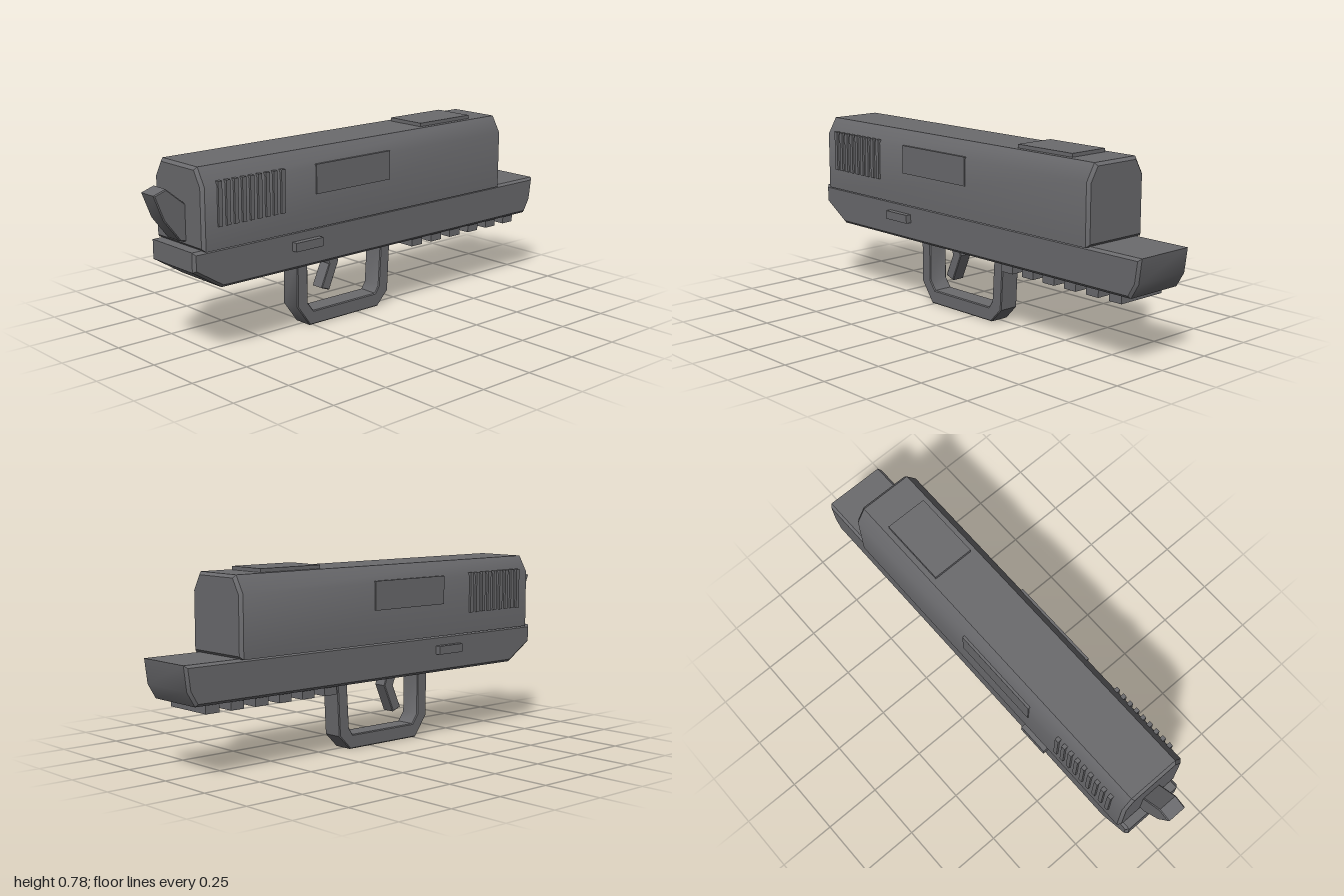
import * as THREE from 'three';
import { toCreasedNormals } from 'three/addons/utils/BufferGeometryUtils.js';

export function createModel() {
  const group = new THREE.Group();
  const grey = new THREE.MeshStandardMaterial({ color: 0x6b6b6e });
  grey.name = 'gunmetal grey';

  function add(name, geometry) {
    const mesh = new THREE.Mesh(geometry, grey);
    mesh.name = name;
    group.add(mesh);
    return mesh;
  }

  // Extrude an outline to a full depth centred on z, with a chamfer inside the outline
  function slab(points, depth, bevel) {
    const shape = new THREE.Shape(points.map(([x, y]) => new THREE.Vector2(x, y)));
    const geometry = new THREE.ExtrudeGeometry(shape, {
      depth: depth - 2 * bevel,
      bevelEnabled: bevel > 0,
      bevelSize: bevel,
      bevelThickness: bevel,
      bevelOffset: -bevel,
      bevelSegments: 1,
    });
    geometry.translate(0, 0, -depth / 2 + bevel);
    return toCreasedNormals(geometry, THREE.MathUtils.degToRad(40));
  }

  // Box given by its limits on each axis
  function block(name, x0, x1, y0, y1, z0, z1) {
    const mesh = add(name, new THREE.BoxGeometry(x1 - x0, y1 - y0, z1 - z0));
    mesh.position.set((x0 + x1) / 2, (y0 + y1) / 2, (z0 + z1) / 2);
  }

  // Upper body: chamfered cross-section run along x
  const upper = slab([
    [-0.154, 0.448], [0.154, 0.448], [0.154, 0.695],
    [0.113, 0.765], [-0.113, 0.765], [-0.154, 0.695],
  ], 1.62, 0.012);
  upper.rotateY(Math.PI / 2);
  upper.translate(-0.055, 0, 0);
  add('upperBody', upper);

  // Lower frame with clipped ends
  add('lowerFrame', slab([
    [-0.9, 0.45], [-0.9, 0.372], [-0.77, 0.291], [0.95, 0.291],
    [0.985, 0.35], [0.998, 0.45],
  ], 0.28, 0.011));

  // Angled tab at the rear
  add('rearTab', slab([
    [-1, 0.665], [-0.96, 0.565], [-0.89, 0.475], [-0.85, 0.465],
    [-0.85, 0.605], [-0.945, 0.683],
  ], 0.086, 0.004));

  // Loop under the frame
  add('guardLoop', slab([
    [-0.33, 0.3], [-0.33, 0.09], [-0.265, 0], [0.115, 0], [0.173, 0.06], [0.185, 0.3],
    [0.132, 0.3], [0.12, 0.09], [0.1, 0.06], [-0.245, 0.06], [-0.275, 0.1], [-0.275, 0.3],
  ], 0.092, 0.004));

  // Bent lever inside the loop
  add('innerLever', slab([
    [-0.17, 0.3], [-0.145, 0.237], [-0.188, 0.14], [-0.145, 0.124],
    [-0.094, 0.242], [-0.115, 0.3],
  ], 0.06, 0.003));

  // Rail teeth under the front
  for (let i = 0; i < 6; i++) {
    const x = 0.281 + i * 0.116;
    block('railTooth', x - 0.031, x + 0.031, 0.255, 0.3, -0.114, 0.114);
  }

  // Plate on top
  block('topPlate', 0.315, 0.61, 0.76, 0.78, -0.091, 0.091);

  // Details mirrored on both sides
  for (const side of [-1, 1]) {
    const onSide = (name, x0, x1, y0, y1, inner, outer) => block(
      name, x0, x1, y0, y1,
      Math.min(side * inner, side * outer), Math.max(side * inner, side * outer));
    for (let i = 0; i < 9; i++) {
      const x = -0.788 + i * 0.0373;
      onSide('gripRib', x - 0.009, x + 0.009, 0.537, 0.71, 0.125, 0.163);
    }
    onSide('sidePanel', -0.32, 0.075, 0.585, 0.705, 0.14, 0.159);
    onSide('sideCatch', -0.43, -0.292, 0.37, 0.406, 0.13, 0.165);
  }
  return group;
}
